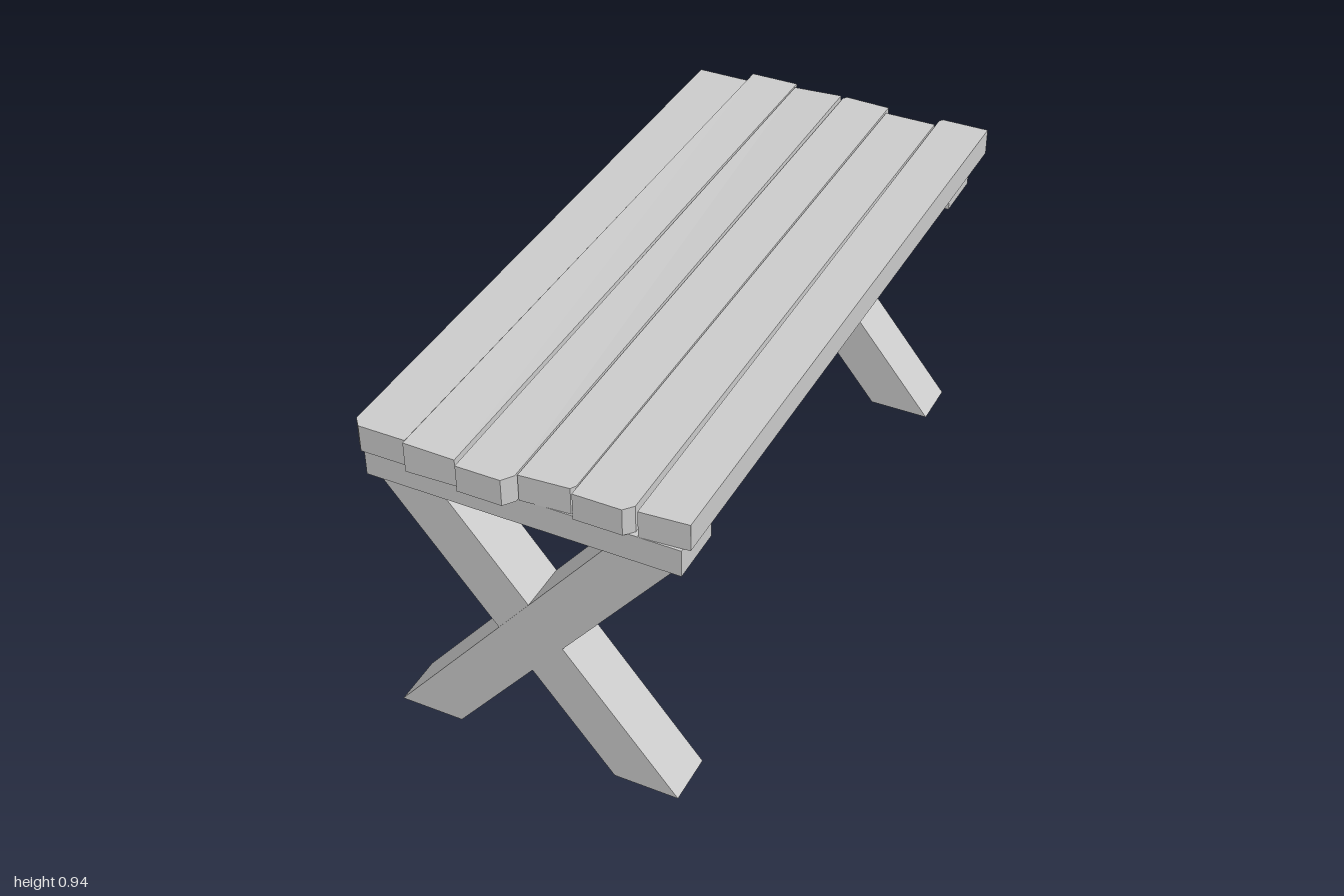
import * as THREE from 'three';

const material = new THREE.MeshStandardMaterial({ color: 0xcccccc, flatShading: true });

const TOP = 0.925;      // table top height
const PLANK_Y = 0.848;  // underside of planks
const BEAM_Y = 0.77;    // underside of cross beams

function add(parent, geometry, name) {
  const mesh = new THREE.Mesh(geometry, material);
  mesh.name = name;
  parent.add(mesh);
  return mesh;
}

// Flat outline of [a, b] points as a Shape
const outline = (points) => new THREE.Shape(points.map(([a, b]) => new THREE.Vector2(a, b)));

// Plank from its plan outline in [x, z]; lift(x, z) warps the upper face
function plankGeometry(points, lift) {
  const geo = new THREE.ExtrudeGeometry(outline(points), { depth: TOP - PLANK_Y, bevelEnabled: false });
  geo.rotateX(Math.PI / 2).translate(0, TOP, 0);
  if (lift) {
    const pos = geo.attributes.position;
    for (let i = 0; i < pos.count; i++) {
      if (pos.getY(i) > TOP - 0.01) pos.setY(i, TOP + lift(pos.getX(i), pos.getZ(i)));
    }
  }
  geo.computeVertexNormals();
  return geo;
}

// Slanted leg with horizontal cuts at floor and beam
function legGeometry(bottomX, topX, width, z0, z1) {
  const shape = outline([[bottomX, 0], [bottomX + width, 0], [topX + width, BEAM_Y], [topX, BEAM_Y]]);
  return new THREE.ExtrudeGeometry(shape, { depth: z1 - z0, bevelEnabled: false }).translate(0, 0, z0);
}

export function createModel() {
  const table = new THREE.Group();
  table.name = 'picnicTable';

  // Six rough-cut planks with uneven ends and chipped corners
  const planks = [
    { points: [[-0.455, -0.96], [-0.302, -0.96], [-0.304, 0.97], [-0.434, 0.97], [-0.455, 0.945]] },
    {
      points: [[-0.300, -1.0], [-0.156, -1.0], [-0.158, 0.985], [-0.296, 0.99]],
      lift: (x, z) => (z > 0 ? 0.003 + 0.007 * (-0.156 - x) / 0.14 : 0.003),
    },
    {
      points: [[-0.153, -0.98], [-0.004, -0.98], [-0.004, 0.97], [-0.026, 1.0], [-0.148, 1.0]],
      lift: (x, z) => (z < 0 ? 0.002 + 0.008 * (x + 0.153) / 0.149 : 0),
    },
    { points: [[0.0, -0.985], [0.008, -0.997], [0.143, -0.992], [0.143, 0.94], [0.134, 0.955], [0.0, 0.965]] },
    { points: [[0.148, -0.96], [0.300, -0.96], [0.298, 0.945], [0.276, 0.97], [0.146, 0.97]] },
    { points: [[0.304, -0.985], [0.312, -0.997], [0.450, -0.997], [0.441, 0.95], [0.311, 0.96]] },
  ];
  const top = new THREE.Group();
  top.name = 'tableTop';
  planks.forEach(({ points, lift }, i) => add(top, plankGeometry(points, lift), `plank${i + 1}`));
  table.add(top);

  // Trestles: cross beam above two crossed legs
  const trestles = [
    { name: 'front', beam: [0.80, 0.96], leg: [0.806, 0.951] },
    { name: 'back', beam: [-0.937, -0.78], leg: [-0.931, -0.786] },
  ];
  for (const { name, beam: [b0, b1], leg: [l0, l1] } of trestles) {
    const trestle = new THREE.Group();
    trestle.name = `${name}Trestle`;
    const beam = new THREE.BoxGeometry(0.854, PLANK_Y - BEAM_Y, b1 - b0);
    add(trestle, beam, `${name}Beam`).position.set(-0.005, (PLANK_Y + BEAM_Y) / 2, (b0 + b1) / 2);
    add(trestle, legGeometry(-0.409, 0.218, 0.18, l0, l1), `${name}RisingLeg`);
    // slightly thinner so the crossing faces do not coincide
    add(trestle, legGeometry(0.223, -0.401, 0.18, l0 + 0.001, l1 - 0.001), `${name}FallingLeg`);
    table.add(trestle);
  }
  return table;
}
